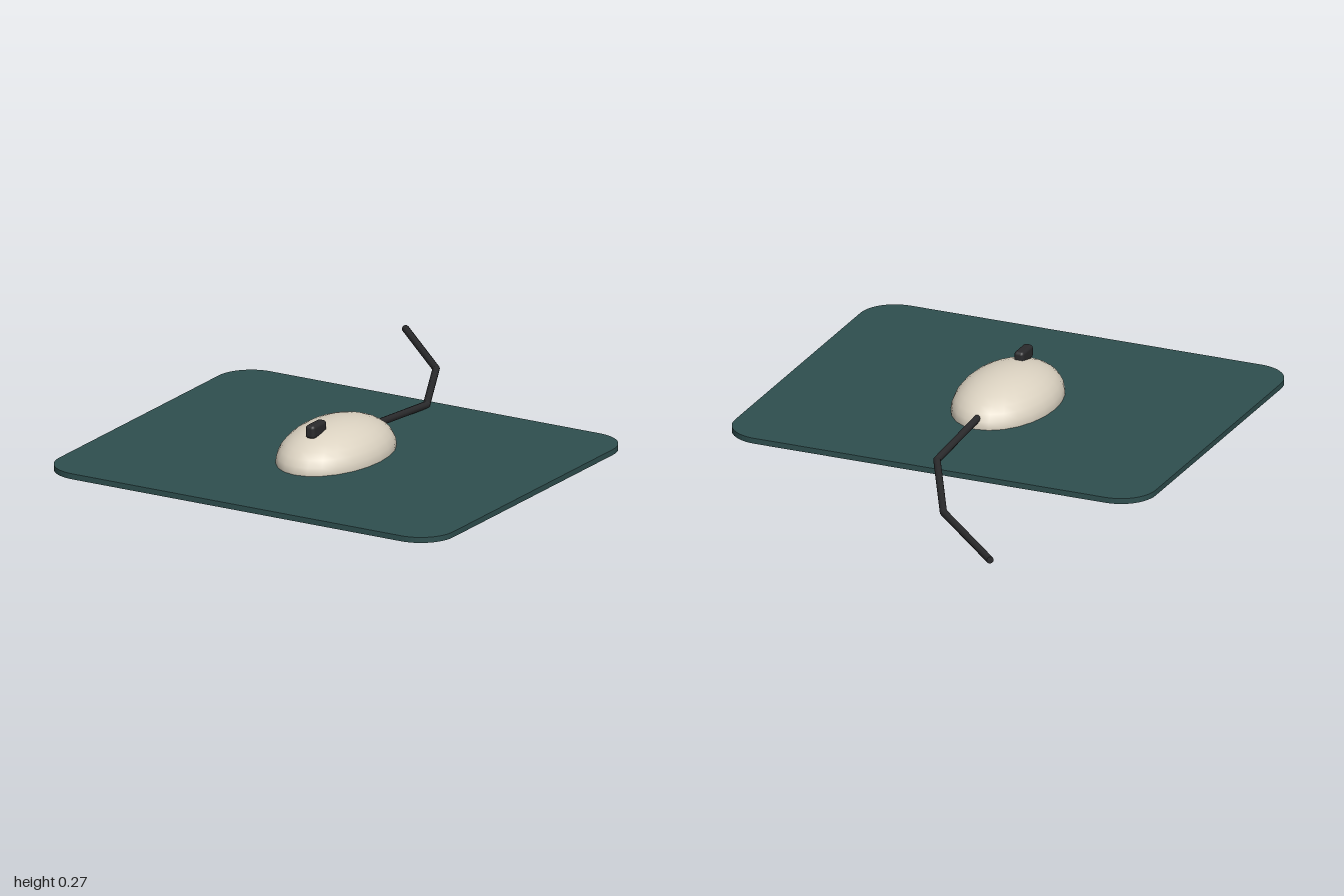
import * as THREE from 'three';
import { RoundedBoxGeometry } from 'three/addons/geometries/RoundedBoxGeometry.js';

function material(name, color) {
  const m = new THREE.MeshStandardMaterial({ color });
  m.name = name;
  return m;
}

// Flat slab with rounded corners, lying in the xz plane
function roundedSlab(width, depth, radius, thickness) {
  const x = width / 2, y = depth / 2, r = radius, s = new THREE.Shape();
  s.absarc(x - r, y - r, r, 0, Math.PI / 2);
  s.absarc(r - x, y - r, r, Math.PI / 2, Math.PI);
  s.absarc(r - x, r - y, r, Math.PI, Math.PI * 1.5);
  s.absarc(x - r, r - y, r, Math.PI * 1.5, Math.PI * 2);
  s.closePath();
  const g = new THREE.ExtrudeGeometry(s, { depth: thickness, bevelEnabled: false, curveSegments: 6 });
  return g.rotateX(-Math.PI / 2);
}

export function createModel() {
  const model = new THREE.Group();
  model.name = 'mouseOnPad';
  const teal = material('padTeal', 0x2f4f4f);
  const beige = material('bodyBeige', 0xdbd2c1);
  const dark = material('darkPlastic', 0x2a2a2c);

  const add = (name, geometry, mat, x, y, z, parent = model) => {
    const mesh = new THREE.Mesh(geometry, mat);
    mesh.name = name;
    mesh.position.set(x, y, z);
    parent.add(mesh);
    return mesh;
  };

  // Pad
  add('pad', roundedSlab(1.586, 1.324, 0.13, 0.02), teal, 0, 0.102, 0.338);

  // Mouse body and scroll wheel
  add('body', new THREE.SphereGeometry(1, 24, 16).scale(0.178, 0.125, 0.278), beige, 0, 0.125, 0.338);
  add('scrollWheel', new RoundedBoxGeometry(0.037, 0.048, 0.092, 2, 0.012), dark, 0, 0.248, 0.471);

  // Cable: straight runs with rounded joints
  const cable = new THREE.Group();
  cable.name = 'cable';
  model.add(cable);
  const radius = 0.013;
  const points = [
    [0, 0.157, 0.09], [0, 0.13, -0.265], [-0.2, 0.116, -0.66], [-0.523, 0.114, -0.99],
  ].map((p) => new THREE.Vector3(...p));
  const up = new THREE.Vector3(0, 1, 0);
  for (let i = 0; i < points.length - 1; i++) {
    const run = points[i + 1].clone().sub(points[i]);
    const mid = points[i].clone().addScaledVector(run, 0.5);
    const mesh = add('cableRun', new THREE.CylinderGeometry(radius, radius, run.length(), 10), dark, mid.x, mid.y, mid.z, cable);
    mesh.quaternion.setFromUnitVectors(up, run.normalize());
    if (i > 0) add('cableJoint', new THREE.SphereGeometry(radius, 10, 8), dark, ...points[i].toArray(), cable);
  }
  return model;
}
